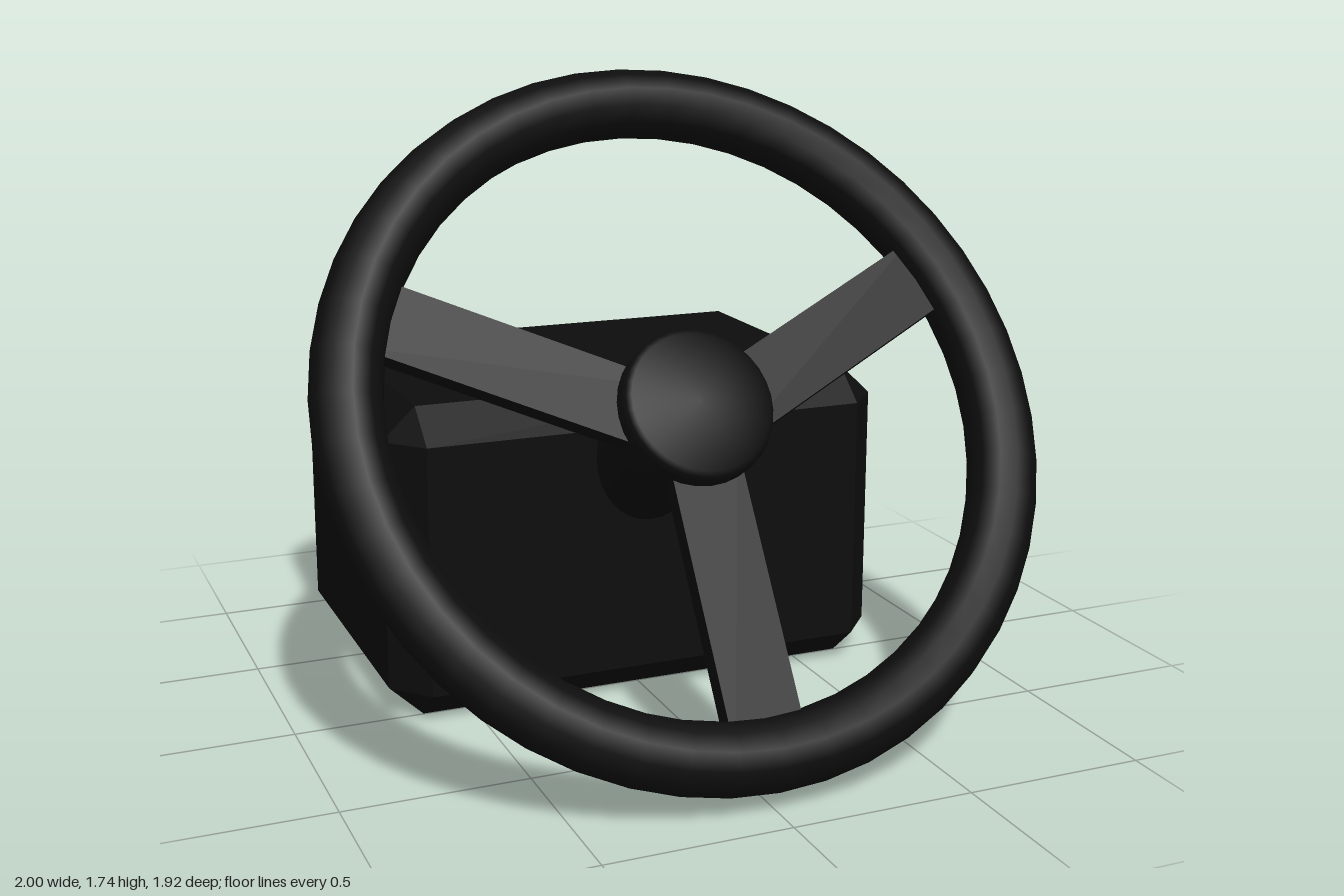
import * as THREE from 'three';
import { ConvexGeometry } from 'three/addons/geometries/ConvexGeometry.js';
import { toCreasedNormals } from 'three/addons/utils/BufferGeometryUtils.js';

const black = new THREE.MeshStandardMaterial({ color: 0x0d0d0d });

function addPart(parent, name, geometry) {
  const mesh = new THREE.Mesh(geometry, black);
  mesh.name = name;
  parent.add(mesh);
  return mesh;
}

// Box with every edge and corner cut: three points around each corner
function chamferedBox(half, cut) {
  const points = [];
  for (const sx of [-1, 1]) for (const sy of [-1, 1]) for (const sz of [-1, 1]) {
    for (let face = 0; face < 3; face++) {
      const p = [0, 1, 2].map((axis) => half[axis] - (axis === face ? 0 : cut[axis]));
      points.push(new THREE.Vector3(sx * p[0], sy * p[1], sz * p[2]));
    }
  }
  return new ConvexGeometry(points);
}

export function createModel() {
  const model = new THREE.Group();
  model.name = 'steeringWheelUnit';

  // Base housing behind the wheel
  const housing = addPart(model, 'housing', chamferedBox([0.735, 0.44, 0.532], [0.095, 0.09, 0.107]));
  housing.position.set(0, 0.44, -0.427);

  // Tilted group: local +z runs along the column towards the driver
  const wheel = new THREE.Group();
  wheel.name = 'wheel';
  wheel.position.set(0, 0.89, 0.37);
  wheel.rotation.x = -0.585;
  model.add(wheel);

  addPart(wheel, 'rim', new THREE.TorusGeometry(0.906, 0.094, 12, 48));

  // Hub with a softened front edge
  const hubProfile = [
    [0, -0.08], [0.21, -0.08], [0.21, 0.05], [0.203, 0.07], [0.19, 0.08], [0, 0.085],
  ].map(([r, h]) => new THREE.Vector2(r, h));
  const hub = toCreasedNormals(new THREE.LatheGeometry(hubProfile, 32), 0.9);
  addPart(wheel, 'hub', hub.rotateX(Math.PI / 2));

  // Column running into the housing
  const column = new THREE.CylinderGeometry(0.163, 0.163, 0.5, 32).rotateX(Math.PI / 2);
  addPart(wheel, 'column', column).position.z = -0.3;

  // Two raised side spokes and one lower spoke
  for (const side of [-1, 1]) {
    const spoke = addPart(wheel, side > 0 ? 'leftSpoke' : 'rightSpoke', new THREE.BoxGeometry(0.88, 0.2, 0.056));
    spoke.position.set(side * 0.42, 0.152, -0.01);
    spoke.rotation.z = side * 0.454;
  }
  addPart(wheel, 'lowerSpoke', new THREE.BoxGeometry(0.2, 0.8, 0.056)).position.set(0, -0.5, -0.01);

  return model;
}
